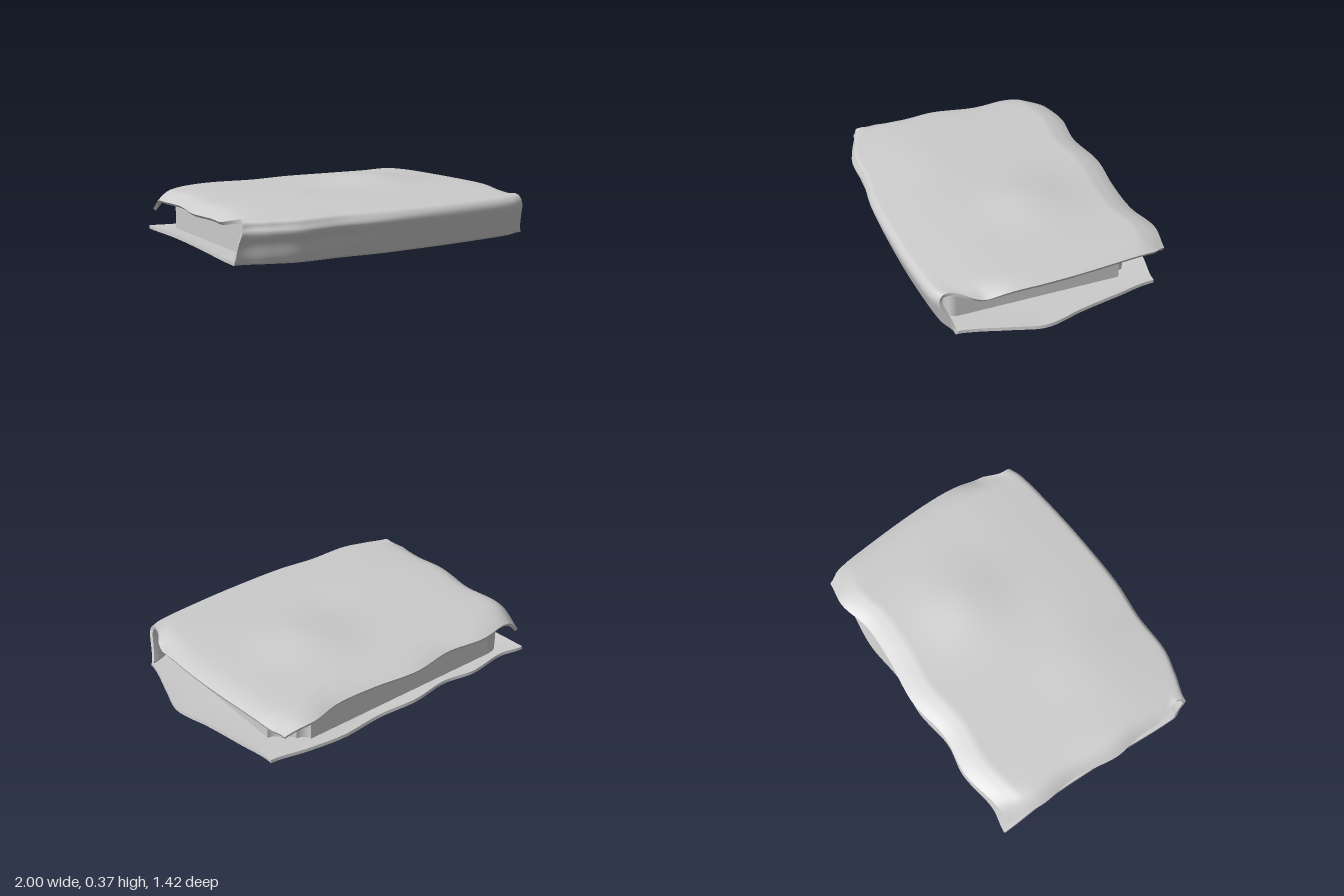
import * as THREE from 'three';

const clamp = (t) => Math.min(1, Math.max(0, t));
const mix = THREE.MathUtils.lerp;

// Smooth interpolation through [position, value] pairs
function table(points) {
  return (t) => {
    const last = points.length - 1;
    if (t <= points[0][0]) return points[0][1];
    if (t >= points[last][0]) return points[last][1];
    let i = 0;
    while (t > points[i + 1][0]) i++;
    const [a, va] = points[i], [b, vb] = points[i + 1];
    const slope = (k) => (k === 0 || k === last) ? 0 :
      (points[k + 1][1] - points[k - 1][1]) / (points[k + 1][0] - points[k - 1][0]);
    const s = (t - a) / (b - a), h = b - a;
    return va * (1 + 2 * s) * (1 - s) ** 2 + vb * s * s * (3 - 2 * s) +
      h * s * (1 - s) * ((1 - s) * slope(i) - s * slope(i + 1));
  };
}
const bump = (x, z, cx, cz, r, h) => h * Math.exp(-((x - cx) ** 2 + (z - cz) ** 2) / (r * r));

// Worn outlines of the cover
const topBack = table([[-0.96, -0.635], [-0.82, -0.65], [-0.6, -0.69], [-0.35, -0.663], [-0.08, -0.7],
  [0.2, -0.67], [0.45, -0.665], [0.65, -0.71], [0.83, -0.69]]);
const bottomBack = table([[-0.96, -0.675], [-0.8, -0.65], [-0.55, -0.68], [-0.35, -0.65], [-0.1, -0.68],
  [0.15, -0.66], [0.42, -0.685], [0.65, -0.66], [0.86, -0.62]]);
const frontEdge = table([[-0.97, 0.59], [-0.8, 0.64], [-0.65, 0.68], [-0.4, 0.68], [-0.15, 0.705],
  [0.2, 0.7], [0.5, 0.68], [0.75, 0.65], [0.87, 0.61]]);
const topLeft = table([[-0.68, -0.95], [-0.45, -0.98], [-0.2, -0.96], [0.1, -1], [0.3, -0.98], [0.5, -0.98], [0.62, -0.94]]);
const topRight = table([[-0.68, 0.82], [-0.6, 0.855], [-0.4, 0.88], [0, 0.91], [0.3, 0.91], [0.5, 0.88], [0.62, 0.82]]);
const bottomLeft = table([[-0.67, -0.96], [-0.3, -0.945], [0.1, -0.955], [0.6, -0.98]]);
const bottomRight = table([[-0.65, 0.86], [-0.4, 0.9], [-0.15, 0.945], [0.1, 1], [0.3, 0.955], [0.5, 0.9], [0.62, 0.88]]);

// Lumpy heights: swollen middle, edges and corners curling over
function topHeight(x, z, u, t) {
  const swell = 0.03 * (1 - (2 * u - 1) ** 10) * clamp(t * 10) * Math.sin(Math.PI / 2 * clamp((1 - t) * 3));
  const right = Math.max(0, 1 - (1 - u) / 0.07) ** 2 * (0.012 + bump(0, z, 0, 0.42, 0.13, 0.035));
  const left = Math.max(0, 1 - u / 0.05) ** 2 * 0.035;
  const back = Math.max(0, 1 - t / 0.06) ** 2 * 0.012;
  return 0.303 + swell - (right + left) * clamp((1 - t) * 8) - back +
    bump(x, z, 0.25, -0.12, 0.26, 0.037) + bump(x, z, -0.4, 0.2, 0.25, 0.008) -
    bump(x, z, -0.98, -0.66, 0.11, 0.075) - bump(x, z, 0.85, -0.7, 0.12, 0.022);
}
function bottomHeight(x, z, u, t) {
  const swell = 0.012 * (1 - (2 * u - 1) ** 8) * clamp(t * 5) * clamp((1 - t) * 8);
  return 0.064 - swell - bump(x, z, 0.2, -0.35, 0.24, 0.05) - bump(x, z, -0.4, 0.2, 0.28, 0.025);
}

// Spine profile: [distance back from the front edge, height]
const spineProfile = new THREE.CatmullRomCurve3([[0.06, 0.303], [0.025, 0.296], [0.004, 0.272], [0, 0.24],
  [0.018, 0.18], [0.042, 0.11], [0.058, 0.064]].map(([d, y]) => new THREE.Vector3(d, y, 0)));

const COLS = 90, FACE = 60, SPINE = 20, ROWS = FACE * 2 + SPINE;

// Point on the outer skin, running top back -> spine -> bottom back
function skin(u, row) {
  if (row <= FACE) {
    const t = row / FACE, zn = mix(-0.68, 0.62, t);
    const x = mix(topLeft(zn), topRight(zn), u);
    const z = mix(topBack(x), frontEdge(x) - 0.06, t);
    return new THREE.Vector3(x, topHeight(x, z, u, t), z);
  }
  if (row < FACE + SPINE) {
    const t = (row - FACE) / SPINE, p = spineProfile.getPoint(t);
    const x = mix(mix(-0.94, -0.98, t), mix(0.82, 0.88, t * t), u);
    const crease = 0.006 * Math.sin(t * 18 + x * 2) * clamp(0.2 - x) * Math.sin(Math.PI * t);
    return new THREE.Vector3(x, p.y, frontEdge(x) - p.x + crease);
  }
  const t = (row - FACE - SPINE) / FACE, zn = mix(0.62, -0.66, t);
  const x = mix(bottomLeft(zn), bottomRight(zn), u);
  const z = mix(frontEdge(x) - 0.058, bottomBack(x), t);
  return new THREE.Vector3(x, bottomHeight(x, z, u, t), z);
}

function sheet(points, cols, rows, flip) {
  const index = [], w = cols + 1;
  for (let r = 0; r < rows; r++) for (let c = 0; c < cols; c++) {
    const a = r * w + c, b = a + w, d = a + 1, e = b + 1;
    index.push(...(flip ? [a, d, b, b, d, e] : [a, b, d, b, e, d]));
  }
  const g = new THREE.BufferGeometry().setFromPoints(points);
  g.setIndex(index);
  g.computeVertexNormals();
  return g;
}

export function createModel() {
  const group = new THREE.Group();
  const grey = new THREE.MeshStandardMaterial({ color: 0xcccccc });
  const greyThin = new THREE.MeshStandardMaterial({ color: 0xcccccc, side: THREE.DoubleSide });
  const add = (name, geometry, material, parent = group) => {
    const m = new THREE.Mesh(geometry, material);
    m.name = name;
    parent.add(m);
  };

  // Cover: outer skin, inner lining offset along the normals, and the rims between
  const cover = new THREE.Group();
  cover.name = 'cover';
  group.add(cover);
  const outer = [];
  for (let r = 0; r <= ROWS; r++) for (let c = 0; c <= COLS; c++) outer.push(skin(c / COLS, r));
  const outerGeo = sheet(outer, COLS, ROWS, false);
  const n = outerGeo.attributes.normal;
  const inner = outer.map((p, i) => p.clone().addScaledVector(new THREE.Vector3().fromBufferAttribute(n, i), -0.02));
  add('coverOutside', outerGeo, grey, cover);
  add('coverLining', sheet(inner, COLS, ROWS, true), grey, cover);

  const rim = (name, count, at) => {
    const pts = [];
    for (let i = 0; i <= count; i++) pts.push(outer[at(i)]);
    for (let i = 0; i <= count; i++) pts.push(inner[at(i)]);
    add(name, sheet(pts, count, 1, false), greyThin, cover);
  };
  const w = COLS + 1;
  rim('topBackRim', COLS, (i) => i);
  rim('bottomBackRim', COLS, (i) => ROWS * w + i);
  rim('rightRim', ROWS, (i) => i * w);
  rim('leftRim', ROWS, (i) => i * w + COLS);

  // Page block: one back corner worn into scallops, the other rounded off
  const s = new THREE.Shape();
  s.moveTo(-0.85, -0.5);
  s.quadraticCurveTo(-0.85, -0.55, -0.8, -0.55);
  s.lineTo(0.7, -0.55);
  s.quadraticCurveTo(0.76, -0.55, 0.76, -0.5);
  s.lineTo(0.76, 0.45);
  const steps = 3;
  for (let i = 0; i < steps; i++) {
    const x = 0.76 - 0.18 * i / steps, y = 0.45 + 0.15 * i / steps;
    s.quadraticCurveTo(x - 0.05, y + 0.005, x - 0.18 / steps, y + 0.15 / steps);
  }
  s.lineTo(-0.74, 0.6);
  s.quadraticCurveTo(-0.84, 0.6, -0.85, 0.52);
  const pages = new THREE.ExtrudeGeometry(s, { depth: 0.2, bevelEnabled: false, curveSegments: 8 });
  pages.rotateX(-Math.PI / 2);
  pages.translate(0, 0.08, 0);
  add('pageBlock', pages, grey);

  return group;
}
